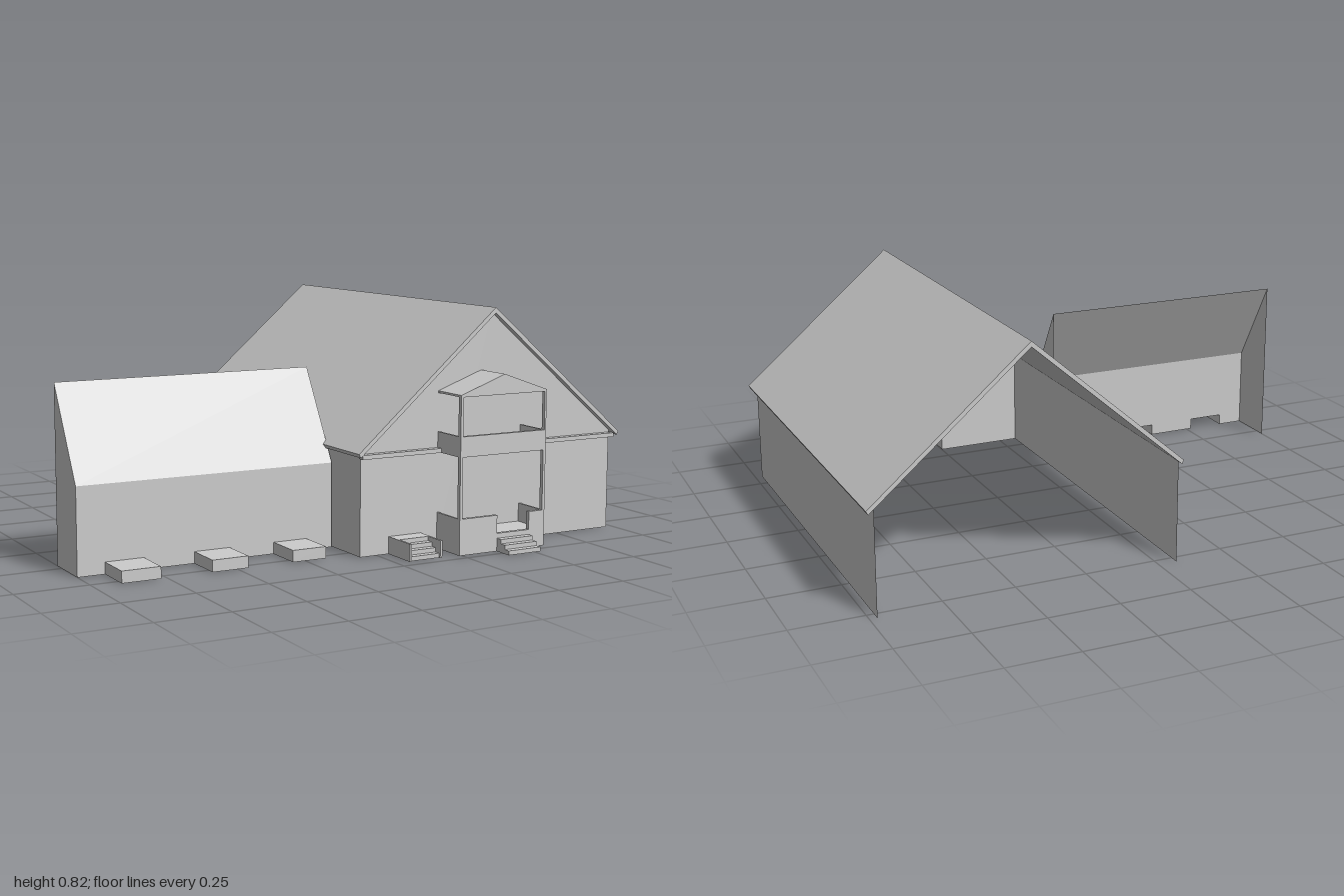
import * as THREE from 'three';

const mat = new THREE.MeshStandardMaterial({ color: 0xcccccc, flatShading: true, side: THREE.DoubleSide });

export function createModel() {
  const model = new THREE.Group();

  const add = (name, geometry, parent = model) => {
    const mesh = new THREE.Mesh(geometry, mat);
    mesh.name = name;
    parent.add(mesh);
    return mesh;
  };
  const group = (name) => {
    const g = new THREE.Group();
    g.name = name;
    model.add(g);
    return g;
  };
  const outline = (points) => points.map(([x, y]) => new THREE.Vector2(x, y));
  // Box given by its limits; an open box has no underside
  const box = (name, x0, x1, y0, y1, z0, z1, parent, open = false) => {
    const geo = new THREE.BoxGeometry(x1 - x0, y1 - y0, z1 - z0);
    geo.translate((x0 + x1) / 2, (y0 + y1) / 2, (z0 + z1) / 2);
    if (open) {
      const index = Array.from(geo.index.array);
      index.splice(18, 6);
      geo.setIndex(index);
      geo.clearGroups();
    }
    return add(name, geo, parent);
  };
  // Flat sheet in the xy plane
  const sheet = (name, points, z, parent) =>
    add(name, new THREE.ShapeGeometry(new THREE.Shape(outline(points))).translate(0, 0, z), parent);
  // Outline in xy drawn out from z0 to z1
  const extrude = (name, points, z0, z1, parent, holes = []) => {
    const shape = new THREE.Shape(outline(points));
    holes.forEach((h) => shape.holes.push(new THREE.Path(outline(h))));
    const geo = new THREE.ExtrudeGeometry(shape, { depth: z1 - z0, bevelEnabled: false });
    return add(name, geo.translate(0, 0, z0), parent);
  };
  // Sheet in the zy plane at a given x
  const sideSheet = (name, points, x, parent) => {
    const geo = new THREE.ShapeGeometry(new THREE.Shape(outline(points.map(([z, y]) => [-z, y]))));
    return add(name, geo.rotateY(Math.PI / 2).translate(x, 0, 0), parent);
  };

  // Main hall, open at the back
  const hall = group('mainHall');
  const wallL = 0.975, wallR = -0.065, front = 0.575, back = -0.785;
  sheet('frontGableWall', [
    [wallR, 0], [0.247, 0], [0.247, 0.06], [0.583, 0.06], [0.583, 0], [wallL, 0],
    [wallL, 0.36], [0.455, 0.81], [wallR, 0.36],
  ], front, hall);
  for (const x of [wallL, wallR])
    sideSheet('sideWall', [[front, 0], [back, 0], [back, 0.36], [front, 0.36]], x, hall);
  extrude('mainRoof', [
    [-0.085, 0.355], [-0.078, 0.342], [0.455, 0.803], [0.993, 0.342], [1, 0.355], [0.455, 0.822],
  ], back, 0.6, hall);
  box('gableTrimRight', -0.07, 0.245, 0.335, 0.35, front, 0.598, hall);
  box('gableTrimLeft', 0.585, 0.98, 0.335, 0.35, front, 0.598, hall);

  // Two-storey porch with balcony
  const porch = group('porch');
  const px0 = 0.24, px1 = 0.59, pFront = 0.715, t = 0.008;
  extrude('porchFrontFrame', [
    [px0, 0], [px1, 0], [px1, 0.54], [px0, 0.54],
  ], 0.7, pFront, porch, [
    [[0.25, 0.125], [0.393, 0.125], [0.393, 0.062], [0.525, 0.062], [0.525, 0.125], [0.58, 0.125], [0.58, 0.335], [0.25, 0.335]],
    [[0.25, 0.405], [0.583, 0.405], [0.583, 0.538], [0.25, 0.538]],
  ]);
  for (const x of [px0, px1 - t]) {
    box('porchSideWall', x, x + t, 0, 0.125, front, 0.7, porch);
    box('balconySideWall', x, x + t, 0.335, 0.405, front, 0.7, porch);
  }
  box('porchFloor', px0 + t, px1 - t, 0.052, 0.06, front, 0.7, porch);
  box('balconyFloor', px0 + t, px1 - t, 0.335, 0.343, front, 0.7, porch);
  extrude('balconyRoof', [[px0, 0.538], [px1, 0.538], [px1, 0.545], [0.415, 0.607], [px0, 0.545]], front, pFront, porch);

  // Stairs: stepped side profile, each tread an open box
  const stairs = (name, x0, x1, zStart, run) => {
    const g = group(name);
    for (let i = 0; i < 3; i++)
      box('step', x0, x1, 0, 0.045 - i * 0.015, zStart + i * run, zStart + (i + 1) * run, g, true);
    return g;
  };
  stairs('porchStairs', 0.393, 0.525, pFront, 0.0235);
  const sideStairs = stairs('sideStairs', 0.055, 0.167, 0.635, 0.0225);
  box('landing', 0.055, 0.167, 0, 0.06, front, 0.635, sideStairs, true);
  for (const x of [0.047, 0.167]) box('stairCheek', x, x + 0.008, 0, 0.06, front, 0.71, sideStairs);

  // Side wing: front wall, single steep roof slope and end walls
  const wing = group('sideWing');
  const wx0 = -1, wx1 = -0.07, wFront = 0.39, wBack = 0.21, eave = 0.295, ridge = 0.607;
  const stepSpans = [[-0.905, -0.77], [-0.59, -0.46], [-0.295, -0.17]];
  const wall = [[wx0, 0]];
  for (const [a, b] of stepSpans) wall.push([a, 0], [a, 0.04], [b, 0.04], [b, 0]);
  wall.push([wx1, 0], [wx1, eave], [wx0, eave]);
  sheet('wingFrontWall', wall, wFront, wing);
  for (const x of [wx0, wx1])
    sideSheet('wingEndWall', [[wFront, 0], [wBack, 0], [wBack, ridge], [wFront, eave]], x, wing);
  const slope = new THREE.PlaneGeometry(wx1 - wx0, Math.hypot(ridge - eave, wFront - wBack));
  slope.rotateX(-Math.atan2(wFront - wBack, ridge - eave));
  slope.translate((wx0 + wx1) / 2, (eave + ridge) / 2, (wFront + wBack) / 2);
  add('wingRoof', slope, wing);

  // Door platforms in front of the wing, hollow underneath and open to it
  for (const [a, b] of stepSpans) {
    const platform = box('doorPlatform', a, b, 0, 0.04, wFront, 0.53, wing, true);
    const index = Array.from(platform.geometry.index.array);
    platform.geometry.setIndex(index.slice(0, -6));
  }

  return model;
}
